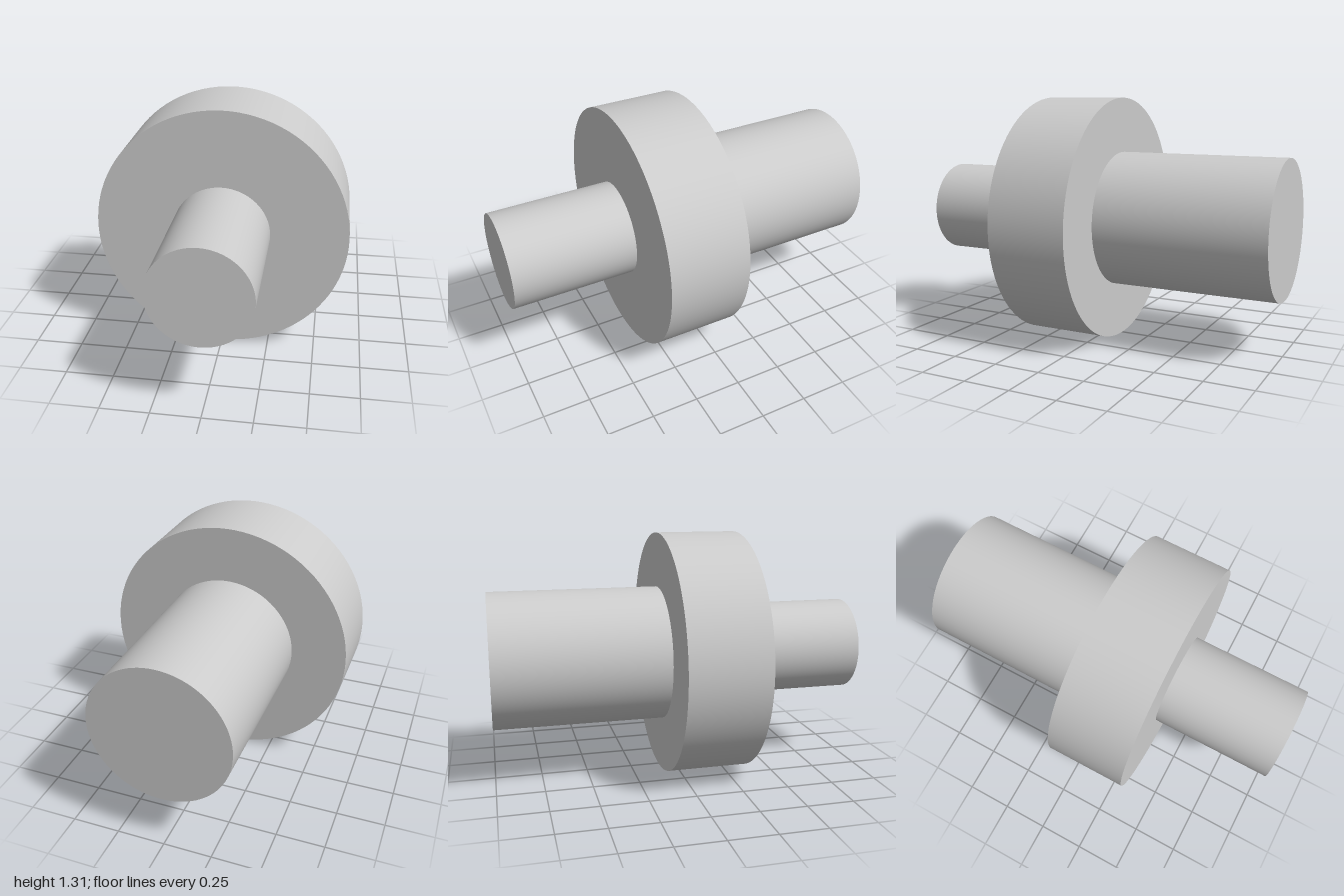
import * as THREE from 'three';

const AXIS_Y = 0.655; // height of the shared axis

export function createModel() {
  const group = new THREE.Group();
  group.name = 'steppedShaft';
  const material = new THREE.MeshStandardMaterial({ color: 0xcccccc });

  // Solid round section lying along z, from zBack to zFront
  const addSection = (name, radius, zBack, zFront) => {
    const geometry = new THREE.CylinderGeometry(radius, radius, zFront - zBack, 96);
    geometry.rotateX(Math.PI / 2);
    const mesh = new THREE.Mesh(geometry, material);
    mesh.name = name;
    mesh.position.set(0, AXIS_Y, (zBack + zFront) / 2);
    group.add(mesh);
  };

  addSection('rearShaft', 0.363, -1, -0.09); // thicker shaft behind the collar
  addSection('collar', 0.655, -0.09, 0.345); // wide disc in the middle
  addSection('frontShaft', 0.253, 0.345, 1); // thinner shaft in front

  return group;
}
